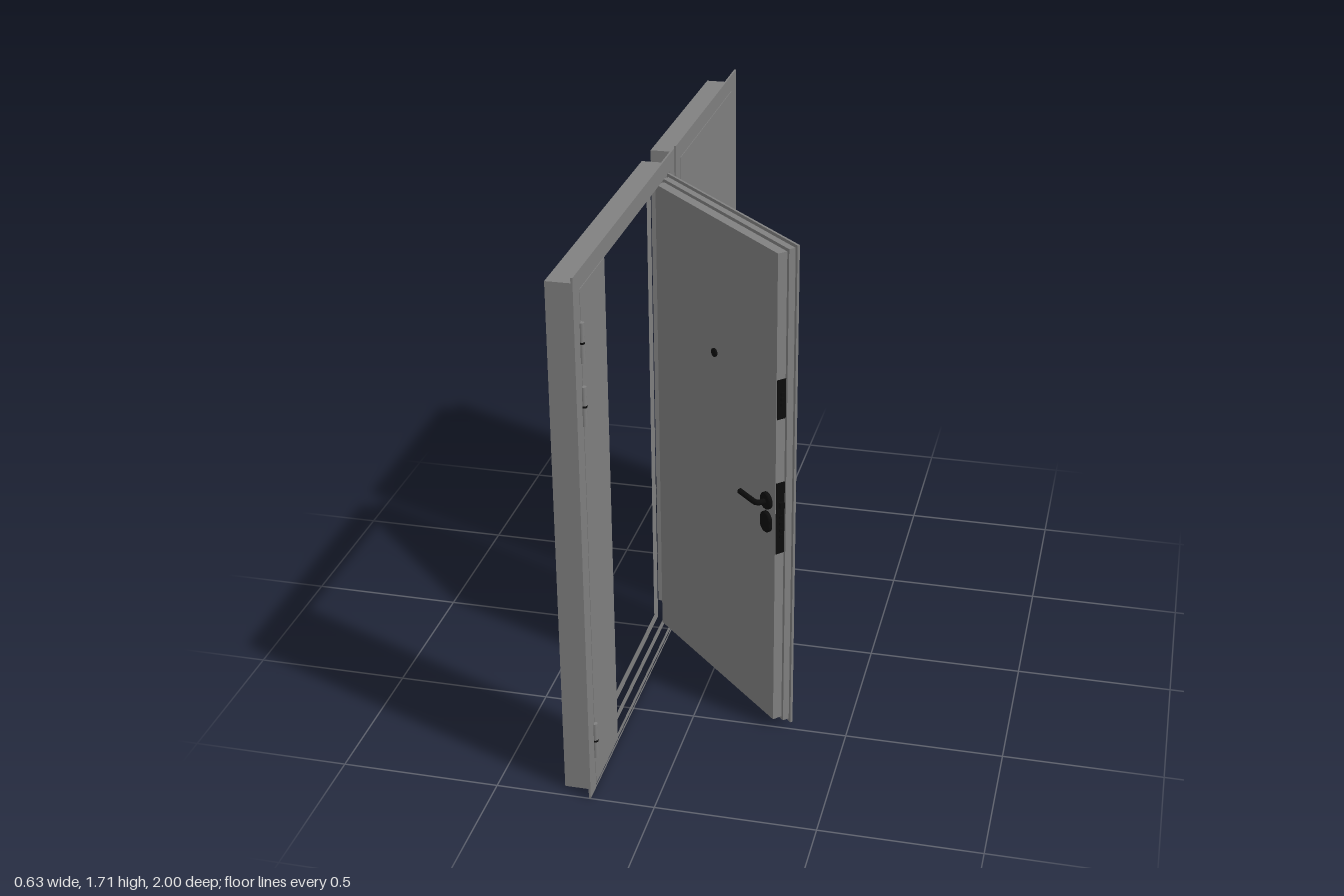
import * as THREE from 'three';

const steel = new THREE.MeshStandardMaterial({ color: 0x808080 });
const black = new THREE.MeshStandardMaterial({ color: 0x0c0c0c });
const FRONT = -0.2; // x of the outer face of the frames
const BOTTOM = 0.012, TOP = 1.652; // leaf height range

function add(parent, name, geometry, material, x = 0, y = 0, z = 0) {
  const mesh = new THREE.Mesh(geometry, material);
  mesh.name = name;
  mesh.position.set(x, y, z);
  parent.add(mesh);
  return mesh;
}

// Box given by its ranges along each axis
function box(parent, name, material, x0, x1, y0, y1, z0, z1) {
  return add(parent, name, new THREE.BoxGeometry(Math.abs(x1 - x0), Math.abs(y1 - y0), Math.abs(z1 - z0)),
    material, (x0 + x1) / 2, (y0 + y1) / 2, (z0 + z1) / 2);
}

// Rectangular ring in the zy plane, extruded along x
function ring(parent, name, x0, x1, outer, inner) {
  const rect = (path, [z0, z1, y0, y1]) => {
    path.moveTo(-z0, y0);
    path.lineTo(-z1, y0);
    path.lineTo(-z1, y1);
    path.lineTo(-z0, y1);
    path.closePath();
    return path;
  };
  const shape = rect(new THREE.Shape(), outer);
  shape.holes.push(rect(new THREE.Path(), inner));
  const geometry = new THREE.ExtrudeGeometry(shape, { depth: x1 - x0, bevelEnabled: false });
  geometry.rotateY(Math.PI / 2);
  return add(parent, name, geometry, steel, x0);
}

// Frame: thin cover flange plus a body with a stepped rebate; z0 < z1 is the opening
function makeFrame(name, z0, z1, flangeLow, flangeHigh, bodyLow, bodyHigh) {
  const group = new THREE.Group();
  group.name = name;
  const hole = (i) => [z0 + i, z1 - i, BOTTOM + i * 0.92, TOP - i * 0.92];
  ring(group, 'coverFlange', FRONT - 0.006, FRONT, [flangeLow, flangeHigh, 0, 1.71], hole(-0.003));
  const body = [bodyLow, bodyHigh, 0, 1.675];
  ring(group, 'outerRebate', -0.235, FRONT - 0.006, body, hole(0.008));
  ring(group, 'innerRebate', -0.268, -0.235, body, hole(0.018));
  ring(group, 'backStop', -0.295, -0.268, body, hole(0.025));
  return group;
}

// Three barrel hinges, each with a ring at the joint
function addHinges(parent, z) {
  for (const y of [0.175, 1.3, 1.495]) {
    add(parent, 'hingeBarrel', new THREE.CylinderGeometry(0.008, 0.008, 0.122, 16), steel, FRONT + 0.003, y, z);
    add(parent, 'hingeRing', new THREE.CylinderGeometry(0.0086, 0.0086, 0.006, 16), black, FRONT + 0.003, y, z);
  }
}

// Disc (straight = 0) or upright oval cover plate facing +x
function rosette(parent, name, y, straight, radius, depth) {
  const shape = new THREE.Shape();
  shape.absarc(0, straight, radius, 0, Math.PI, false);
  shape.absarc(0, -straight, radius, Math.PI, Math.PI * 2, false);
  const geometry = new THREE.ExtrudeGeometry(shape, {
    depth: depth - 0.003, bevelThickness: 0.003, bevelSize: 0.003, bevelOffset: -0.003, bevelSegments: 1, curveSegments: 14
  });
  geometry.rotateY(Math.PI / 2);
  return add(parent, name, geometry, black, 0, y, 0);
}

// Lever bent from its neck, pointing towards z * dir
function addLever(parent, dir) {
  const path = new THREE.CurvePath();
  const v = (x, z) => new THREE.Vector3(x, 0, z * dir);
  path.add(new THREE.LineCurve3(v(0, 0), v(0.024, 0)));
  path.add(new THREE.QuadraticBezierCurve3(v(0.024, 0), v(0.04, 0), v(0.04, 0.018)));
  path.add(new THREE.LineCurve3(v(0.04, 0.018), v(0.04, 0.096)));
  const section = new THREE.Shape();
  section.absarc(0, 0, 0.009, 0, Math.PI * 2, false);
  add(parent, 'lever', new THREE.ExtrudeGeometry(section, { steps: 30, curveSegments: 7, extrudePath: path }), black, 0, 0.81, 0);
}

// Handle set for one face, built facing +x with the lever towards z * dir
function makeHandleSet(dir, withUpperLock) {
  const group = new THREE.Group();
  group.name = withUpperLock ? 'outerHandleSet' : 'innerHandleSet';
  rosette(group, 'handleRosette', 0.81, 0, 0.028, 0.012);
  rosette(group, 'lowerLockCover', 0.737, 0.008, 0.027, 0.012);
  if (withUpperLock) rosette(group, 'upperLockCover', 1.165, 0.008, 0.027, 0.012);
  addLever(group, dir);
  return group;
}

// Leaf body: hinge edge at z = 0, outer face at x = 0, running along z * d
function makePanel(group, width, d, freeStep) {
  const layer = (name, x0, x1, inset, free) =>
    box(group, name, steel, x0, x1, BOTTOM + inset, TOP - inset, inset * d, (width + free) * d);
  layer('outerSheet', -0.008, 0, 0, 0);
  layer('leafMiddle', -0.03, -0.008, 0.01, freeStep / 2);
  layer('leafCore', -0.062, -0.03, 0.02, freeStep);
}

function makeLeaf(name, d) {
  const width = 0.738, lockAt = 0.675;
  const group = new THREE.Group();
  group.name = name;
  makePanel(group, width, d, -0.02);
  const outer = makeHandleSet(-d, true);
  outer.position.z = lockAt * d;
  const inner = makeHandleSet(d, false);
  inner.position.set(-0.062, 0, lockAt * d);
  inner.rotation.y = Math.PI;
  group.add(outer, inner);
  // Door viewer through the leaf
  const viewer = add(group, 'doorViewer', new THREE.CylinderGeometry(0.014, 0.014, 0.074, 20), black, -0.031, 1.19, 0.372 * d);
  viewer.rotation.z = Math.PI / 2;
  return group;
}

// Lock plates and bolts on the free edge
function addEdgeLocks(leaf) {
  const edge = 0.718;
  for (const [y0, y1] of [[0.64, 0.885], [1.1, 1.23]])
    box(leaf, 'lockPlate', black, -0.06, -0.03, y0, y1, edge - 0.004, edge + 0.003);
  for (const y of [0.7, 0.722, 0.744, 0.766, 1.148, 1.165, 1.182]) {
    const bolt = add(leaf, 'bolt', new THREE.CylinderGeometry(0.007, 0.007, 0.01, 14), black, -0.043, y, edge + 0.004);
    bolt.rotation.x = Math.PI / 2;
  }
  box(leaf, 'latch', black, -0.052, -0.036, 0.8, 0.82, edge, edge + 0.014);
}

export function createModel() {
  const model = new THREE.Group();

  // Single door, closed
  const single = new THREE.Group();
  single.name = 'singleDoor';
  single.add(makeFrame('singleFrame', -0.935, -0.195, -1, -0.135, -0.96, -0.178));
  const closedLeaf = makeLeaf('closedLeaf', -1);
  closedLeaf.position.set(FRONT, 0, -0.196);
  single.add(closedLeaf);
  addHinges(single, -0.198);

  // Double door: active leaf open at 45 degrees, narrow leaf closed
  const double = new THREE.Group();
  double.name = 'doubleDoor';
  double.add(makeFrame('doubleFrame', -0.045, 0.938, -0.11, 1, -0.07, 0.955));
  const openLeaf = makeLeaf('openLeaf', 1);
  addEdgeLocks(openLeaf);
  openLeaf.position.set(FRONT, 0, -0.045);
  openLeaf.rotation.y = Math.PI / 4;
  double.add(openLeaf);
  const narrowLeaf = new THREE.Group();
  narrowLeaf.name = 'narrowLeaf';
  makePanel(narrowLeaf, 0.243, -1, 0.022);
  narrowLeaf.position.set(FRONT, 0, 0.937);
  double.add(narrowLeaf);
  addHinges(double, -0.048);
  addHinges(double, 0.941);

  model.add(single, double);
  return model;
}
